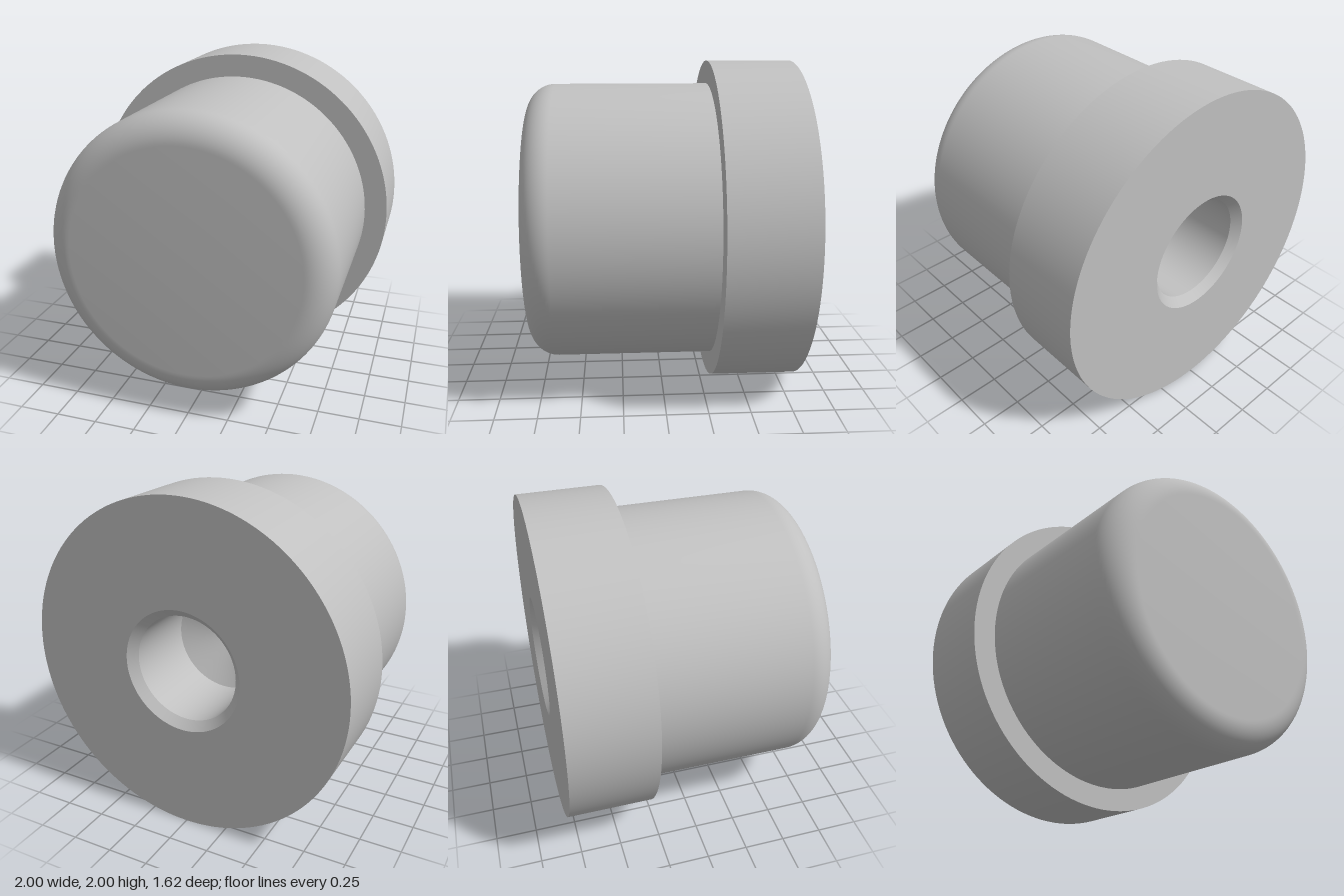
import * as THREE from 'three';
import { toCreasedNormals } from 'three/addons/utils/BufferGeometryUtils.js';

const BACK = -0.812, STEP = -0.297, FRONT = 0.812;
const FLANGE_R = 1, BODY_R = 0.86, FILLET = 0.17;
const BORE_R = 0.32, CHAMFER = 0.05;

export function createModel() {
  const group = new THREE.Group();
  group.name = 'flangedPlug';
  const steel = new THREE.MeshStandardMaterial({ color: 0xc0c0c0 });
  steel.name = 'light grey steel';

  // Revolve a [radius, z] profile about the horizontal z axis at y = 1
  function turn(name, profile) {
    const points = profile.map(([r, z]) => new THREE.Vector2(r, z));
    const lathe = new THREE.LatheGeometry(points, 128);
    lathe.rotateX(Math.PI / 2);
    const mesh = new THREE.Mesh(toCreasedNormals(lathe, Math.PI / 6), steel);
    mesh.name = name;
    mesh.position.y = 1;
    group.add(mesh);
  }

  // Blind drilled hole with a conical end and a chamfered mouth
  turn('bore', [
    [0, STEP + 0.19],
    [BORE_R, STEP],
    [BORE_R, BACK + CHAMFER],
    [BORE_R + CHAMFER, BACK],
  ]);

  // Wide flange: back face, rim and front shoulder
  turn('flange', [
    [BORE_R + CHAMFER, BACK],
    [FLANGE_R, BACK],
    [FLANGE_R, STEP],
    [BODY_R, STEP],
  ]);

  // Cylindrical body with a rounded front edge
  const body = [[BODY_R, STEP]];
  const steps = 16;
  for (let i = 0; i <= steps; i++) {
    const a = (i / steps) * Math.PI / 2;
    body.push([
      BODY_R - FILLET + FILLET * Math.cos(a),
      FRONT - FILLET + FILLET * Math.sin(a),
    ]);
  }
  body.push([0, FRONT]);
  turn('body', body);

  return group;
}
